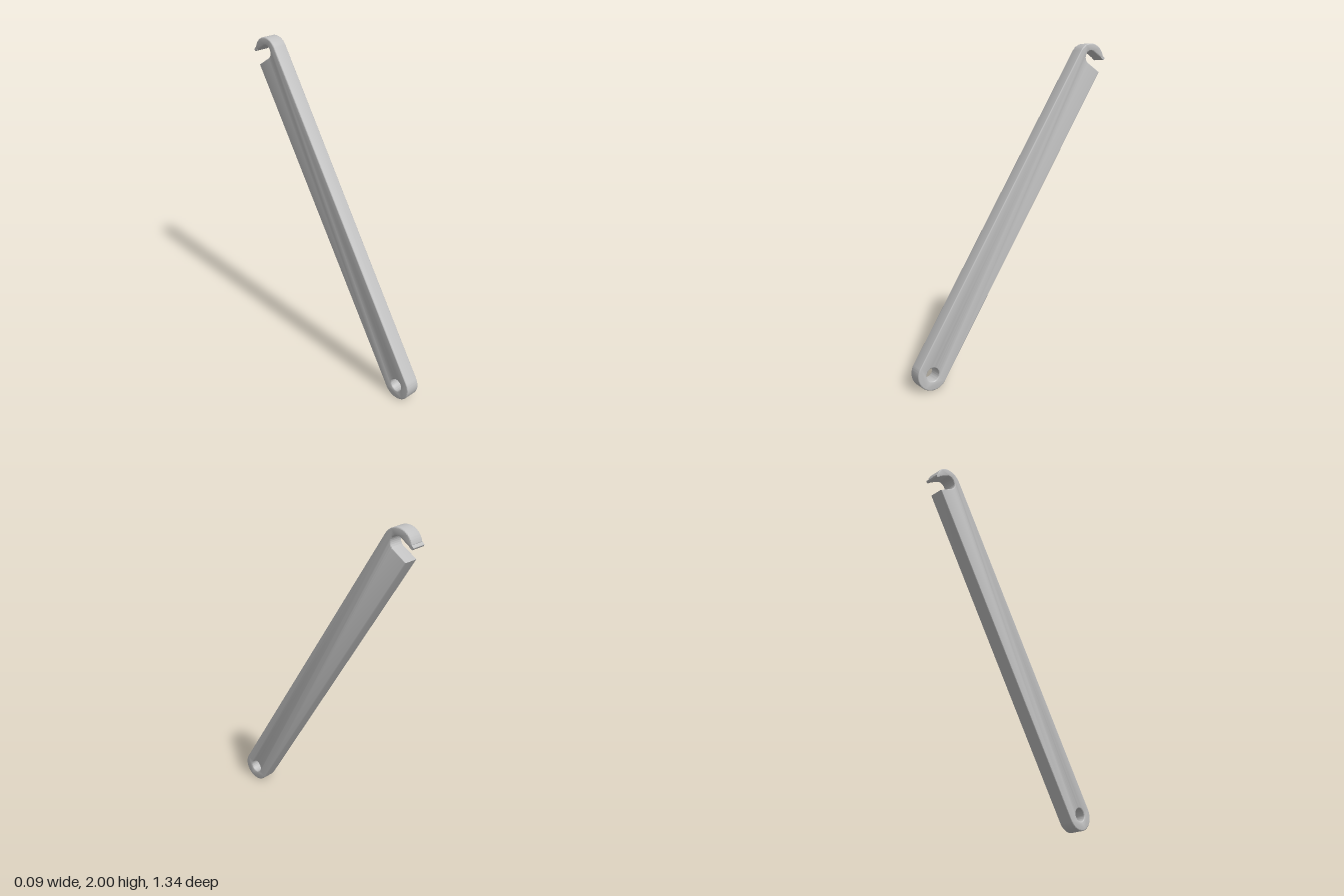
import * as THREE from 'three';
import { toCreasedNormals } from 'three/addons/utils/BufferGeometryUtils.js';

const R = 0.095;        // end radius and half width of the bar
const WIDTH = 0.092;    // thickness across x
const BEVEL = 0.006;
const RISE = 1.81, RUN = 1.138;
const LENGTH = Math.hypot(RISE, RUN);
const TILT = Math.atan2(RUN, RISE);

// Extrudes a shape drawn along the bar (pivot at origin, bar along +y) and sets it leaning in the yz plane
function leaningPlate(shape, bevel) {
  const depth = WIDTH - 2 * bevel;
  const geo = new THREE.ExtrudeGeometry(shape, {
    depth, curveSegments: 32, bevelEnabled: bevel > 0,
    bevelSize: bevel, bevelThickness: bevel, bevelOffset: -bevel, bevelSegments: 3,
  });
  geo.translate(0, 0, -depth / 2);
  geo.rotateZ(-TILT);
  geo.translate(-0.573, R, 0);
  geo.rotateY(Math.PI / 2);
  return toCreasedNormals(geo, 0.6);
}

export function createModel() {
  const group = new THREE.Group();
  const metal = new THREE.MeshStandardMaterial({ color: 0xc0c0c0 });
  metal.name = 'light grey metal';

  // Bar with a round lower end, a pivot hole and an open hook slot at the top
  const bar = new THREE.Shape();
  const slotX = -0.007, slotY = LENGTH + 0.007, slotR = 0.041;
  bar.moveTo(-R, 0);
  bar.absarc(0, 0, R, Math.PI, Math.PI * 2, false);
  bar.lineTo(R, slotY - slotR);
  bar.lineTo(slotX, slotY - slotR);
  bar.absarc(slotX, slotY, slotR, -Math.PI / 2, -Math.PI * 1.5, true);
  bar.lineTo(0.068, slotY + slotR);
  bar.absarc(0, LENGTH, R, Math.PI * 0.25, Math.PI, false);
  bar.closePath();
  const hole = new THREE.Path();
  hole.absarc(0, 0, 0.04, 0, Math.PI * 2, true);
  bar.holes.push(hole);
  const barMesh = new THREE.Mesh(leaningPlate(bar, BEVEL), metal);
  barMesh.name = 'hookedBar';
  group.add(barMesh);

  // Small raised lip across the tip of the hook
  const lip = new THREE.Shape();
  lip.moveTo(0.06, LENGTH + 0.048);
  lip.lineTo(0.08, LENGTH + 0.046);
  lip.quadraticCurveTo(0.086, LENGTH + 0.046, 0.086, LENGTH + 0.054);
  lip.quadraticCurveTo(0.086, LENGTH + 0.063, 0.079, LENGTH + 0.063);
  lip.lineTo(0.064, LENGTH + 0.066);
  lip.closePath();
  const lipMesh = new THREE.Mesh(leaningPlate(lip, 0), metal);
  lipMesh.name = 'hookLip';
  group.add(lipMesh);

  return group;
}
